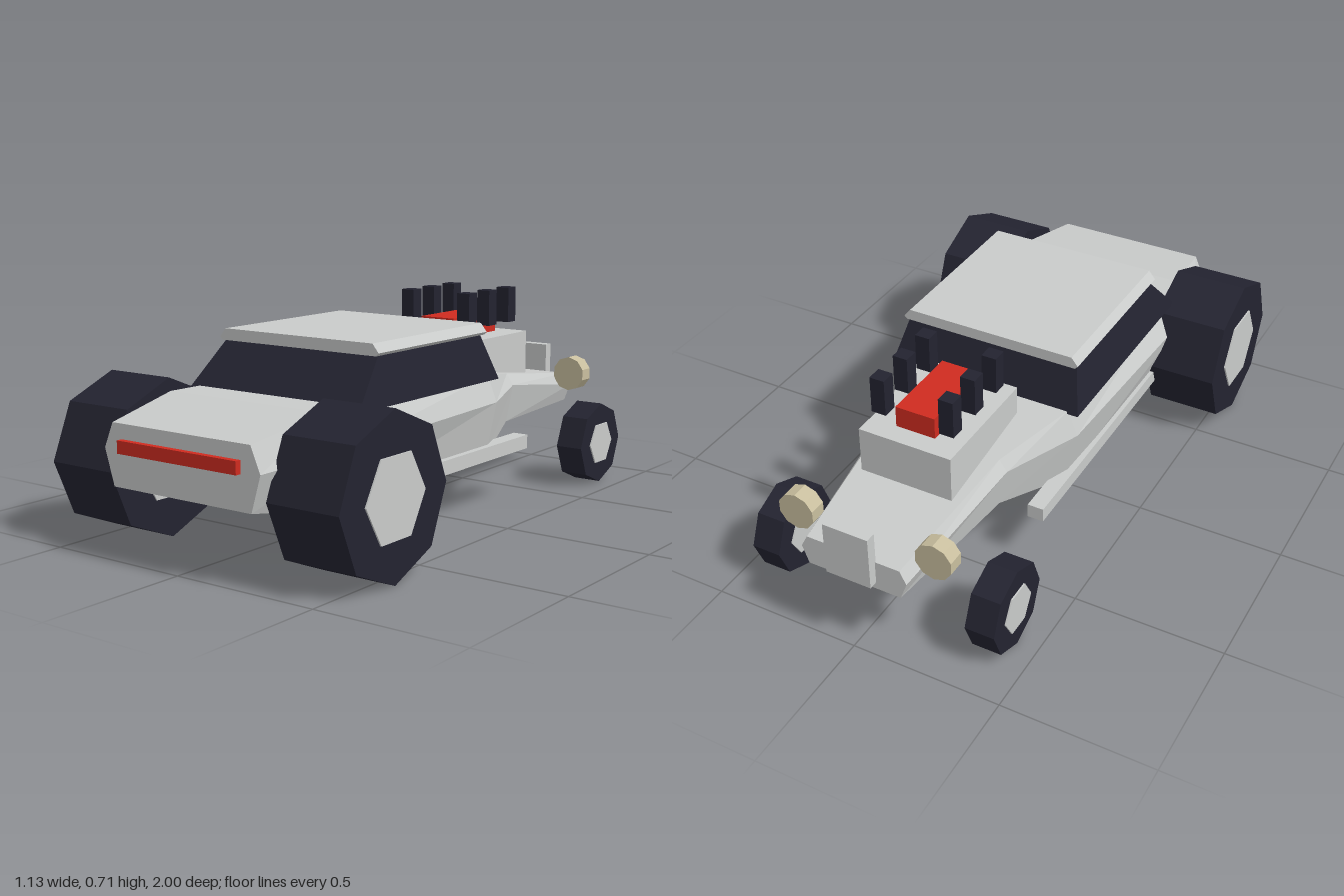
import * as THREE from 'three';

const material = (name, color) => {
  const m = new THREE.MeshStandardMaterial({ color, flatShading: true });
  m.name = name;
  return m;
};

// Skin through matching rings; each ring runs counter-clockwise seen from the first end.
function loft(rings) {
  const pos = [];
  const tri = (...points) => points.forEach((p) => pos.push(...p));
  const n = rings[0].length;
  for (let r = 0; r < rings.length - 1; r++) {
    const a = rings[r], b = rings[r + 1];
    for (let i = 0; i < n; i++) {
      const j = (i + 1) % n;
      tri(a[i], b[i], b[j]);
      tri(a[i], b[j], a[j]);
    }
  }
  const first = rings[0], last = rings[rings.length - 1];
  for (let i = 1; i < n - 1; i++) {
    tri(first[0], first[i], first[i + 1]);
    tri(last[0], last[i + 1], last[i]);
  }
  const g = new THREE.BufferGeometry();
  g.setAttribute('position', new THREE.Float32BufferAttribute(pos, 3));
  g.computeVertexNormals();
  return g;
}

export function createModel() {
  const paint = material('light grey paint', 0xc9cbca);
  const dark = material('dark rubber and glass', 0x232330);
  const red = material('red', 0xcf2b20);
  const lamp = material('beige lamp', 0xc9bf9f);

  const car = new THREE.Group();
  car.name = 'car';
  const add = (name, geometry, mat, x = 0, y = 0, z = 0) => {
    const mesh = new THREE.Mesh(geometry, mat);
    mesh.name = name;
    mesh.position.set(x, y, z);
    car.add(mesh);
    return mesh;
  };
  // Box given by its limits on each axis
  const box = (name, mat, [x0, x1], [y0, y1], [z0, z1]) =>
    add(name, new THREE.BoxGeometry(x1 - x0, y1 - y0, z1 - z0), mat,
      (x0 + x1) / 2, (y0 + y1) / 2, (z0 + z1) / 2);

  // Body: six-sided sections as z, then half width and height of top, waist and floor
  const sections = [
    [0.98, 0.27, 0.417, 0.305, 0.337, 0.27, 0.222],
    [0.70, 0.305, 0.467, 0.37, 0.36, 0.305, 0.18],
    [-0.18, 0.305, 0.458, 0.34, 0.37, 0.30, 0.18],
    [-0.46, 0.208, 0.418, 0.235, 0.38, 0.208, 0.245],
    [-0.97, 0.16, 0.348, 0.182, 0.305, 0.16, 0.245],
  ];
  add('body', loft(sections.map(([z, tx, ty, mx, my, bx, by]) => [
    [tx, ty, z], [-tx, ty, z], [-mx, my, z], [-bx, by, z], [bx, by, z], [mx, my, z],
  ])), paint);

  // Cabin glass, tapering upward
  const level = (y, x, back, front) =>
    [[x, y, back], [-x, y, back], [-x, y, front], [x, y, front]];
  add('cabinGlass', loft([
    level(0.605, 0.304, -0.125, 0.435),
    level(0.45, 0.342, -0.188, 0.585),
  ]), dark);

  // Roof panel with bevelled sides
  add('roof', loft([0.455, -0.147].map((z) => [
    [0.295, 0.638, z], [-0.295, 0.638, z], [-0.318, 0.61, z],
    [-0.308, 0.6, z], [0.308, 0.6, z], [0.318, 0.61, z],
  ])), paint);

  // Engine with intake and floating stacks
  box('engineBlock', paint, [-0.16, 0.16], [0.3, 0.545], [-0.67, -0.253]);
  box('intake', red, [-0.068, 0.068], [0.54, 0.617], [-0.603, -0.325]);

  box('grille', paint, [-0.077, 0.077], [0.27, 0.452], [-1, -0.965]);
  box('tailLight', red, [-0.233, 0.233], [0.33, 0.37], [0.975, 1]);

  // Octagonal tyre with a six-sided hub passing through it
  const wheel = (name, side, x, z, radius, width, hubRadius) => {
    const tyre = add(name + 'Tyre', new THREE.CylinderGeometry(radius, radius, width, 8), dark,
      side * x, radius, z);
    tyre.rotation.z = Math.PI / 2;
    const hub = add(name + 'Hub', new THREE.CylinderGeometry(hubRadius, hubRadius, width + 0.01, 6), paint,
      side * x, radius, z);
    hub.rotation.set(Math.PI / 2, 0, Math.PI / 2, 'ZXY');
    hub.rotation.set(0, 0, Math.PI / 2);
    hub.geometry.rotateY(0);
  };

  for (const side of [1, -1]) {
    const label = side > 0 ? 'left' : 'right';
    wheel(label + 'Large', side, 0.433, 0.705, 0.255, 0.254, 0.142);
    wheel(label + 'Small', side, 0.381, -0.757, 0.145, 0.098, 0.08);

    // Running board
    const [a, b] = [side * 0.277, side * 0.332].sort((p, q) => p - q);
    box(label + 'RunningBoard', paint, [a, b], [0.174, 0.222], [-0.4, 0.5]);

    for (const z of [-0.595, -0.465, -0.335])
      box(label + 'Stack', dark, [side * 0.118 - 0.025, side * 0.118 + 0.025], [0.585, 0.71], [z - 0.025, z + 0.025]);

    const light = add(label + 'Headlight', new THREE.CylinderGeometry(0.063, 0.063, 0.057, 10), lamp,
      side * 0.238, 0.368, -0.883);
    light.rotation.x = Math.PI / 2;
  }
  return car;
}
